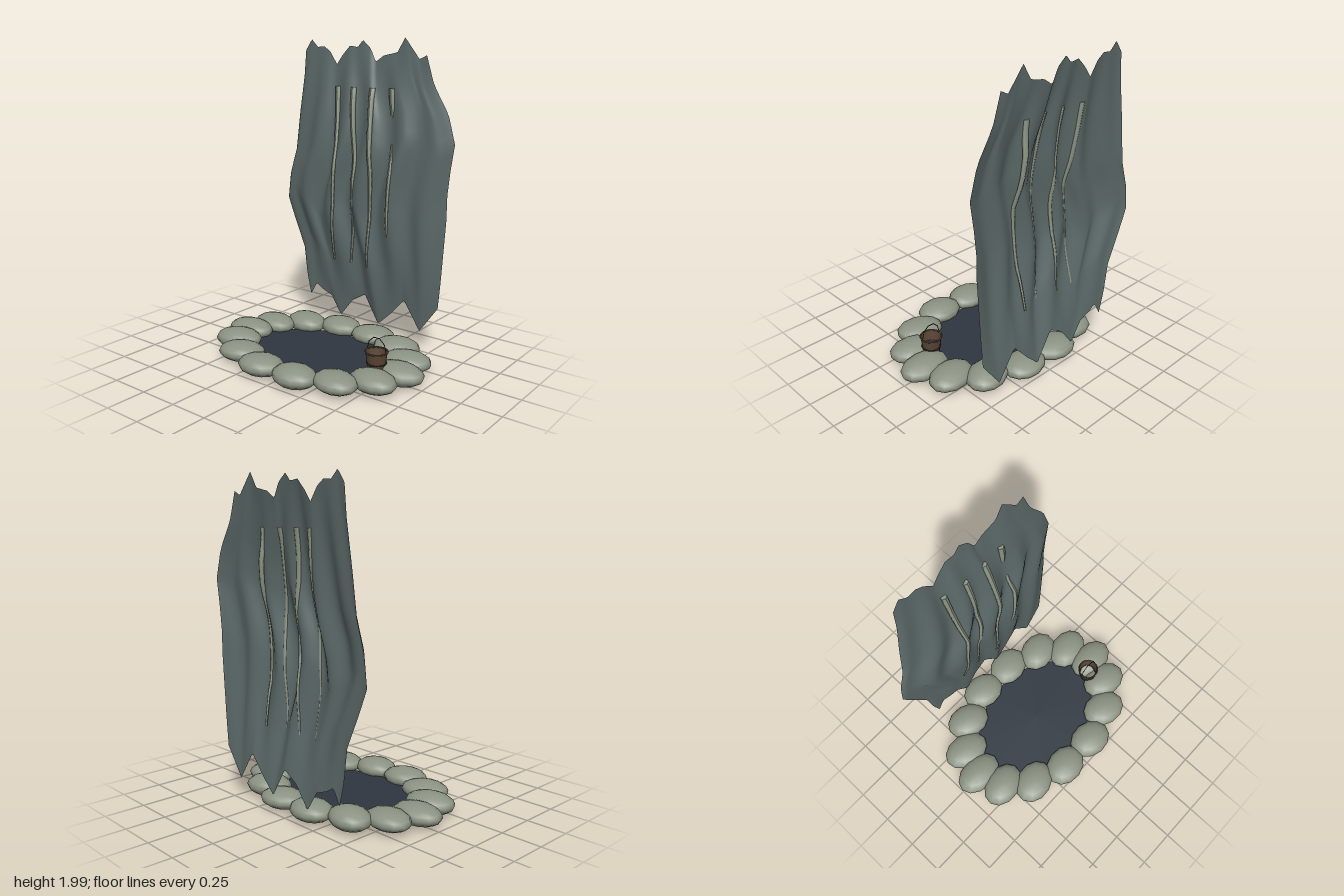
import * as THREE from 'three';

const mat = (name, color, side = THREE.FrontSide) => {
  const m = new THREE.MeshStandardMaterial({ color, side });
  m.name = name;
  return m;
};

// Piecewise linear lookup in a list of [position, value] pairs
function lookup(pts, t) {
  if (t <= pts[0][0]) return pts[0][1];
  for (let i = 1; i < pts.length; i++) {
    const [a, va] = pts[i - 1], [b, vb] = pts[i];
    if (t <= b) return va + (vb - va) * (t - a) / (b - a);
  }
  return pts[pts.length - 1][1];
}

// Ragged outline of the hanging sheet: sides as [y, x], ends as [x, y]
const LEFT = [[.21, -.465], [.35, -.5], [.55, -.525], [.72, -.6], [.89, -.67], [1.06, -.65],
  [1.23, -.595], [1.5, -.56], [1.75, -.52], [1.92, -.505]];
const RIGHT = [[.32, .56], [.5, .575], [.9, .6], [1.05, .6], [1.2, .615], [1.37, .64],
  [1.55, .59], [1.72, .485], [1.895, .43]];
const TOP = [[-.505, 1.92], [-.455, 1.99], [-.405, 1.94], [-.35, 1.945], [-.3, 1.91], [-.245, 1.83],
  [-.2, 1.89], [-.14, 1.95], [-.08, 1.94], [-.04, 1.985], [.02, 1.935], [.06, 1.85], [.12, 1.89],
  [.22, 1.91], [.275, 2], [.38, 1.87], [.43, 1.895]];
const BOTTOM = [[-.465, .21], [-.415, .3], [-.36, .265], [-.28, .235], [-.2, .11], [-.1, .24],
  [0, .3], [.11, .115], [.2, .2], [.31, .325], [.43, .14], [.51, .25], [.56, .32]];

const lerp = THREE.MathUtils.lerp;
const leftX = v => lookup(LEFT, lerp(.21, 1.92, v));
const rightX = v => lookup(RIGHT, lerp(.32, 1.895, v));
const topY = u => lookup(TOP, lerp(-.505, .43, u));
const bottomY = u => lookup(BOTTOM, lerp(-.465, .56, u));

// Bulge and vertical folds, flat at the rim
function foldZ(u, v) {
  const rim = Math.sin(Math.PI * v) * Math.pow(Math.max(0, Math.sin(Math.PI * u)), .6);
  return -.495 + rim * (.09 + .028 * Math.cos(34 * (u - .18) + .8 * Math.sin(5 * v)));
}

// Sheet depth at a given x, y
function sheetZ(x, y) {
  let u = .5, v = .5;
  for (let i = 0; i < 4; i++) {
    v = (y - bottomY(u)) / (topY(u) - bottomY(u));
    u = (x - leftX(v)) / (rightX(v) - leftX(v));
  }
  return foldZ(u, v);
}

function makeSheet(material) {
  const geo = new THREE.PlaneGeometry(1, 1, 72, 30);
  const p = geo.attributes.position;
  for (let i = 0; i < p.count; i++) {
    const u = p.getX(i) + .5, v = p.getY(i) + .5;
    p.setXYZ(i, lerp(leftX(v), rightX(v), u), lerp(bottomY(u), topY(u), v), foldZ(u, v));
  }
  geo.computeVertexNormals();
  const mesh = new THREE.Mesh(geo, material);
  mesh.name = 'hangingSheet';
  return mesh;
}

// Thin bent tapering strip that follows the sheet and pokes through it
function makeStrip(x0, push, material) {
  const geo = new THREE.CylinderGeometry(.02, .007, 1.17, 6, 18);
  const p = geo.attributes.position;
  for (let i = 0; i < p.count; i++) {
    const y = p.getY(i) + 1.105;
    const cx = x0 + lookup([[.52, -.01], [1.17, .03], [1.69, 0]], y);
    p.setXYZ(i, p.getX(i) + cx, y, p.getZ(i) * .8 + sheetZ(cx, y) + push(y));
  }
  geo.computeVertexNormals();
  const mesh = new THREE.Mesh(geo, material);
  mesh.name = 'strip';
  return mesh;
}

export function createModel() {
  const model = new THREE.Group();
  model.name = 'stonePoolWithSheet';
  const stone = mat('stone', 0x8b9383);
  const cloth = mat('slateCloth', 0x5b6968, THREE.DoubleSide);
  const bone = mat('paleStrip', 0x8f9787);
  const water = mat('darkWater', 0x2e363f);
  const wood = mat('wood', 0x5a4636, THREE.DoubleSide);
  const iron = mat('iron', 0x2b2c2d);
  const add = (parent, name, geo, material, x = 0, y = 0, z = 0) => {
    const mesh = new THREE.Mesh(geo, material);
    mesh.name = name;
    mesh.position.set(x, y, z);
    parent.add(mesh);
    return mesh;
  };

  // Pool surface
  add(model, 'poolWater', new THREE.CylinderGeometry(1, 1, .025, 48), water, 0, .035, 0)
    .scale.set(.478, 1, .338);

  // Ring of rounded stones
  const ring = new THREE.Group();
  ring.name = 'stoneRing';
  const stoneGeo = new THREE.SphereGeometry(1, 12, 8);
  for (let i = 0; i < 14; i++) {
    const a = i / 14 * Math.PI * 2;
    const s = add(ring, 'stone', stoneGeo, stone, .59 * Math.cos(a), .07, .415 * Math.sin(a));
    s.scale.set(.165 - .015 * Math.abs(Math.sin(a)), .066 - .004 * (i % 3), .115 + .006 * Math.abs(Math.sin(a)));
    s.rotation.y = -.25 * Math.sin(2 * a);
  }
  model.add(ring);

  // Hanging sheet and its four strips
  model.add(makeSheet(cloth));
  const strips = new THREE.Group();
  strips.name = 'strips';
  const pushes = [
    y => lookup([[.52, .004], [1.2, .008], [1.69, .006]], y),
    y => lookup([[.52, .004], [.96, -.007], [1.1, .006], [1.69, .006]], y),
    y => lookup([[.52, .004], [1.2, .008], [1.69, .006]], y),
    y => lookup([[.7, -.014], [.8, 0], [1.2, .003], [1.38, -.016], [1.5, -.016], [1.6, .004]], y),
  ];
  [-.215, -.075, .07, .21].forEach((x, i) => strips.add(makeStrip(x, pushes[i], bone)));
  model.add(strips);

  // Bucket with rim, hoop and wire handle
  const bucket = new THREE.Group();
  bucket.name = 'bucket';
  bucket.position.set(.478, 0, .068);
  add(bucket, 'bucketWall', new THREE.CylinderGeometry(.066, .05, .125, 14, 1, true), wood, 0, .138, 0);
  add(bucket, 'bucketRim', new THREE.TorusGeometry(.067, .005, 6, 18), wood, 0, .2, 0).rotation.x = Math.PI / 2;
  add(bucket, 'bucketHoop', new THREE.TorusGeometry(.058, .004, 5, 18), iron, 0, .13, 0).rotation.x = Math.PI / 2;
  add(bucket, 'bucketHandle', new THREE.TorusGeometry(.067, .0025, 5, 5, Math.PI), iron, 0, .2, 0).scale.y = 1.3;
  model.add(bucket);

  return model;
}
